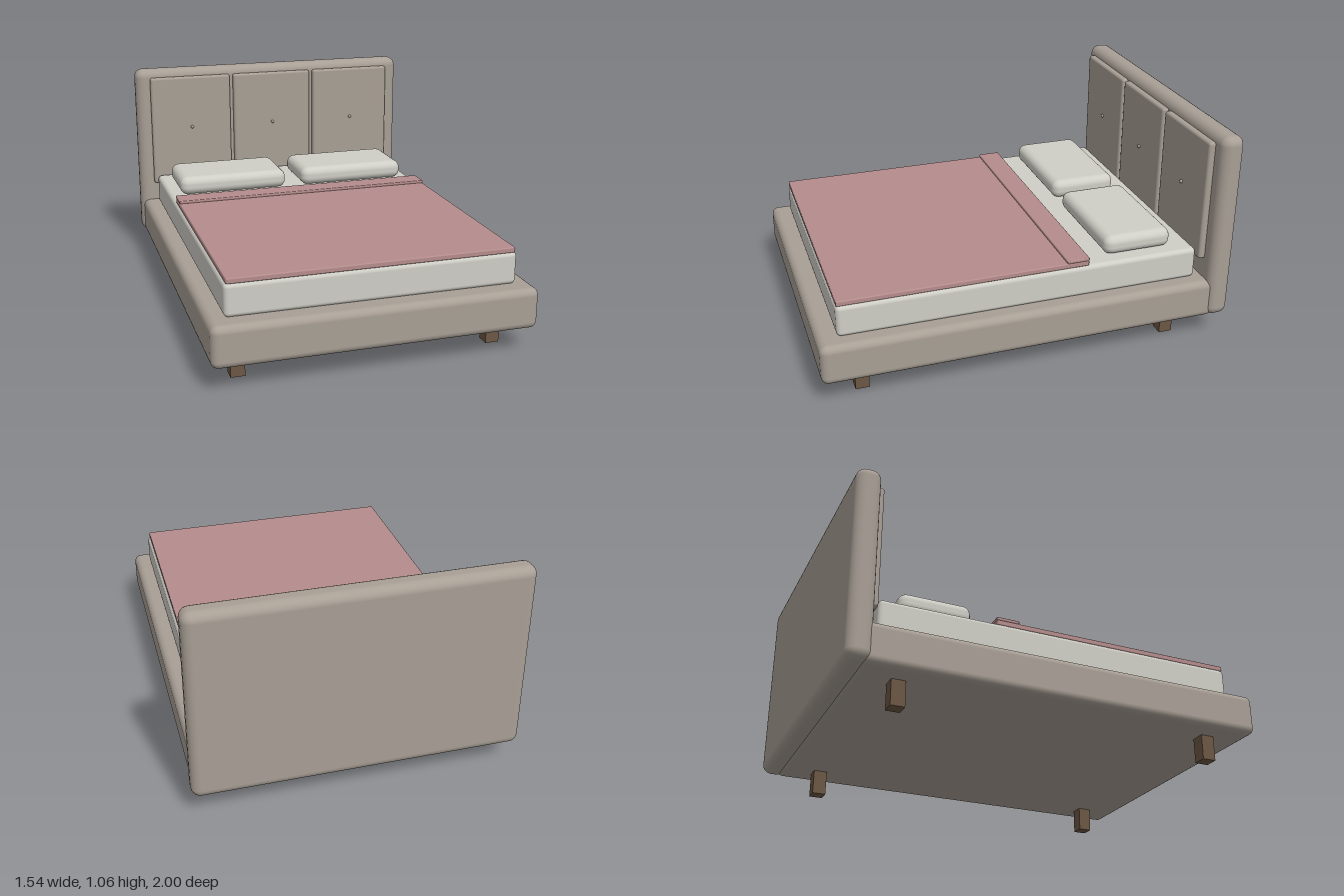
import * as THREE from 'three';
import { RoundedBoxGeometry } from 'three/addons/geometries/RoundedBoxGeometry.js';

const material = (name, color) => {
  const m = new THREE.MeshStandardMaterial({ color });
  m.name = name;
  return m;
};

export function createModel() {
  const bed = new THREE.Group();
  bed.name = 'bed';

  const fabric = material('taupe fabric', 0xa89f95);
  const linen = material('off-white linen', 0xcfcec6);
  const wool = material('dusty rose blanket', 0xb58c8c);
  const wood = material('brown wood', 0x6b5744);

  // Box given by its min and max on each axis, with optional rounded edges
  function box(name, mat, [x0, x1], [y0, y1], [z0, z1], radius = 0, segments = 3) {
    const size = [x1 - x0, y1 - y0, z1 - z0];
    const geometry = radius
      ? new RoundedBoxGeometry(...size, segments, radius)
      : new THREE.BoxGeometry(...size);
    const mesh = new THREE.Mesh(geometry, mat);
    mesh.name = name;
    mesh.position.set((x0 + x1) / 2, (y0 + y1) / 2, (z0 + z1) / 2);
    bed.add(mesh);
    return mesh;
  }

  // Upholstered base and headboard
  box('base', fabric, [-0.755, 0.755], [0.12, 0.315], [-0.93, 1], 0.035);
  box('headboard', fabric, [-0.77, 0.77], [0.125, 1.06], [-1, -0.885], 0.045);

  // Three padded panels, each with a button
  for (const i of [-1, 0, 1]) {
    const x = i * 0.47;
    box('headboardPanel', fabric, [x - 0.225, x + 0.225], [0.415, 1.018], [-0.892, -0.853], 0.013, 2);
    const button = new THREE.Mesh(new THREE.SphereGeometry(0.009, 12, 8), fabric);
    button.name = 'button';
    button.position.set(x, 0.732, -0.85);
    bed.add(button);
  }

  // Mattress, blanket and its folded edge
  box('mattress', linen, [-0.678, 0.678], [0.312, 0.467], [-0.847, 0.908], 0.022);
  box('blanket', wool, [-0.668, 0.668], [0.464, 0.49], [-0.293, 0.904], 0.006, 2);
  box('blanketFold', wool, [-0.668, 0.668], [0.488, 0.504], [-0.295, -0.184], 0.005, 2);

  // Pillows and legs, mirrored left and right
  for (const side of [-1, 1]) {
    const pillow = box('pillow', linen, [-0.288, 0.288], [0.466, 0.562], [-0.737, -0.395], 0.04);
    pillow.position.x = side * 0.333;
    for (const z of [-0.734, 0.802]) {
      const leg = box('leg', wood, [-0.033, 0.033], [0, 0.13], [z - 0.033, z + 0.033]);
      leg.position.x = side * 0.609;
    }
  }
  return bed;
}
